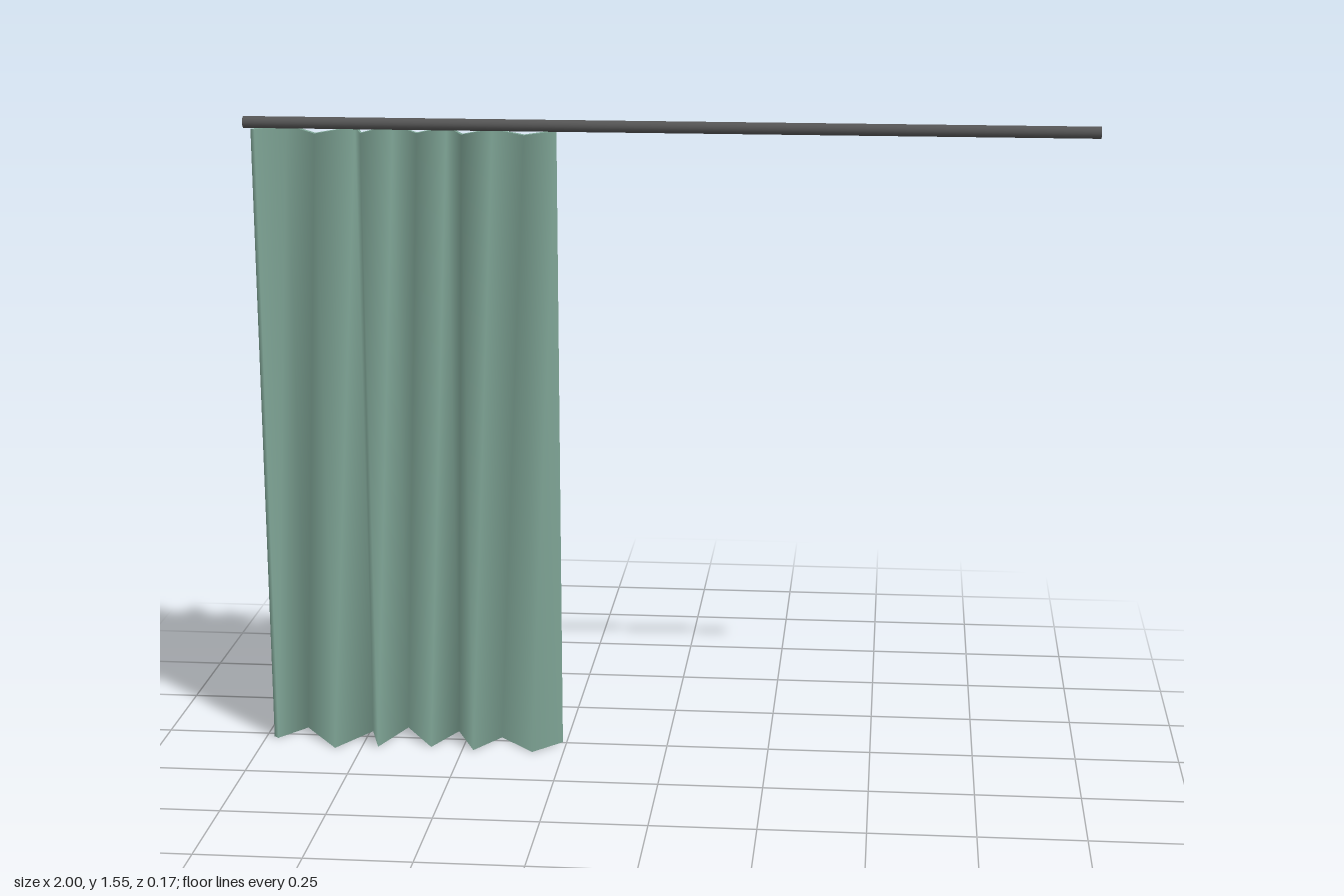
import * as THREE from 'three';

const ROD_Y = 1.536, ROD_R = 0.014;
const CURTAIN_H = 1.522, HALF_THICK = 0.0075;

// Fold line of the cloth as [x, z], from right to left
const FOLDS = [
  [-0.975, 0.025], [-0.91, -0.055], [-0.815, 0.077], [-0.742, -0.043],
  [-0.71, 0.06], [-0.66, -0.077], [-0.58, 0.05], [-0.528, -0.062],
  [-0.472, 0.062], [-0.415, -0.03], [-0.327, 0.062], [-0.265, -0.008],
].map(([x, z]) => new THREE.Vector2(x, z));

// Front-facing normal of the fold line at point i
function foldNormal(i) {
  const n = new THREE.Vector2();
  for (const j of [i - 1, i]) {
    if (j < 0 || j + 1 >= FOLDS.length) continue;
    const d = FOLDS[j + 1].clone().sub(FOLDS[j]).normalize();
    n.add(new THREE.Vector2(-d.y, d.x));
  }
  return n.normalize();
}

// Closed outline of the cloth: along the front, back along the rear
function clothOutline() {
  const side = s => FOLDS.map((p, i) => p.clone().addScaledVector(foldNormal(i), s * HALF_THICK));
  return [...side(1), ...side(-1).reverse()];
}

// Smoothly shaded upright wall around the outline
function wallGeometry(outline) {
  const pos = [], index = [], n = outline.length;
  outline.forEach((p, i) => {
    pos.push(p.x, 0, p.y, p.x, CURTAIN_H, p.y);
    const a = 2 * i, b = 2 * ((i + 1) % n);
    index.push(a, b, b + 1, a, b + 1, a + 1);
  });
  const g = new THREE.BufferGeometry();
  g.setAttribute('position', new THREE.Float32BufferAttribute(pos, 3));
  g.setIndex(index);
  g.computeVertexNormals();
  return g;
}

export function createModel() {
  const model = new THREE.Group();
  model.name = 'curtainOnRod';
  const cloth = new THREE.MeshStandardMaterial({ color: 0x7fa596, side: THREE.DoubleSide });
  const metal = new THREE.MeshStandardMaterial({ color: 0x555555 });

  // Rod
  const rod = new THREE.Mesh(new THREE.CylinderGeometry(ROD_R, ROD_R, 2, 16), metal);
  rod.name = 'rod';
  rod.rotation.z = Math.PI / 2;
  rod.position.set(0, ROD_Y, 0.008);
  model.add(rod);

  // Pleated curtain: wall plus top and bottom hems
  const curtain = new THREE.Group();
  curtain.name = 'curtain';
  const outline = clothOutline();
  const wall = new THREE.Mesh(wallGeometry(outline), cloth);
  wall.name = 'curtainCloth';
  curtain.add(wall);

  const hemShape = new THREE.Shape(outline);
  for (const [name, y] of [['bottomHem', 0], ['topHem', CURTAIN_H]]) {
    const hem = new THREE.Mesh(new THREE.ShapeGeometry(hemShape).rotateX(Math.PI / 2), cloth);
    hem.name = name;
    hem.position.y = y;
    curtain.add(hem);
  }
  model.add(curtain);
  return model;
}
